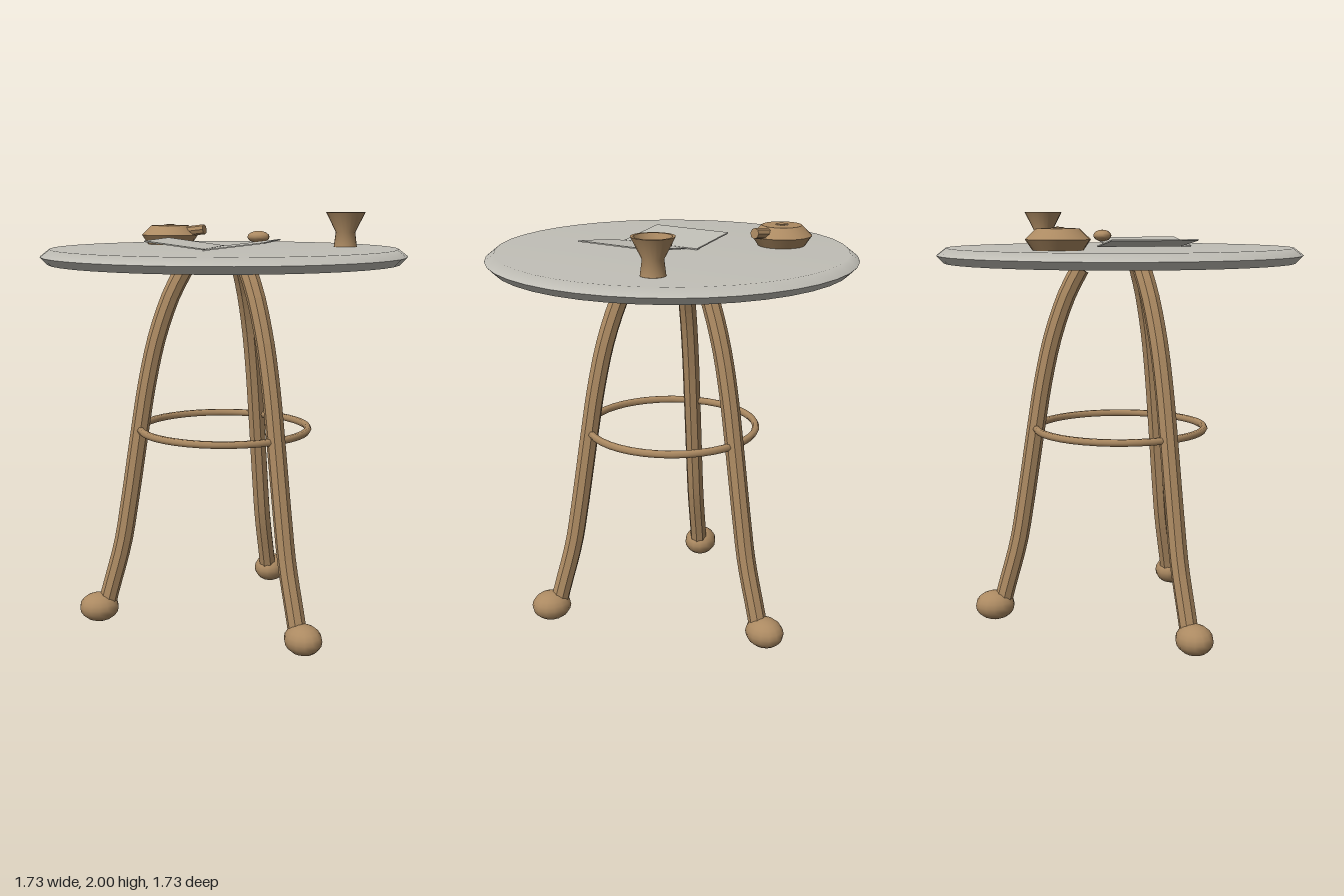
import * as THREE from 'three';

export function createModel() {
  const model = new THREE.Group();
  const wood = new THREE.MeshStandardMaterial({ name: 'wood', color: 0xac8a62 });
  const woodFaceted = new THREE.MeshStandardMaterial({ name: 'wood faceted', color: 0xac8a62, flatShading: true });
  const stone = new THREE.MeshStandardMaterial({ name: 'pale grey', color: 0xc0beb6 });

  const add = (name, geometry, material, parent = model) => {
    const mesh = new THREE.Mesh(geometry, material);
    mesh.name = name;
    parent.add(mesh);
    return mesh;
  };
  const lathe = (points, segments) =>
    new THREE.LatheGeometry(points.map(([r, y]) => new THREE.Vector2(r, y)), segments);

  // Table top: smooth upper face and bevel, with a crisp rim and flat underside
  const top = new THREE.Group();
  top.name = 'tableTop';
  model.add(top);
  add('tableUpperFace', lathe([[0.865, 1.8], [0.82, 1.835], [0, 1.835]], 40), stone, top);
  add('tableLowerBevel', lathe([[0.83, 1.765], [0.865, 1.8]], 40), stone, top);
  add('tableUnderside', lathe([[0, 1.765], [0.83, 1.765]], 40), stone, top);

  // Three curved legs with ball feet, drawn along +z and turned about the centre
  const path = new THREE.CatmullRomCurve3(
    [[0.585, 0.08], [0.565, 0.16], [0.5, 0.4], [0.465, 0.6], [0.408, 0.97],
      [0.37, 1.2], [0.32, 1.42], [0.25, 1.62], [0.19, 1.735]]
      .map(([r, y]) => new THREE.Vector3(0, y, r)));
  const legGeometry = new THREE.TubeGeometry(path, 24, 0.044, 8);
  const capGeometry = new THREE.CircleGeometry(0.044, 8);
  const footGeometry = new THREE.SphereGeometry(1, 14, 10).scale(0.084, 0.072, 0.097);
  [['frontLeftLeg', 1], ['frontRightLeg', -1], ['backLeg', 3]].forEach(([name, turns]) => {
    const leg = new THREE.Group();
    leg.name = name;
    leg.rotation.y = turns * Math.PI / 3;
    add('legShaft', legGeometry, woodFaceted, leg);
    const cap = add('legCap', capGeometry, woodFaceted, leg);
    cap.position.copy(path.getPoint(1));
    cap.quaternion.setFromUnitVectors(new THREE.Vector3(0, 0, 1), path.getTangent(1));
    add('foot', footGeometry, wood, leg).position.set(0, 0.074, 0.622);
    model.add(leg);
  });

  // Brace ring joining the legs
  const ring = add('braceRing', new THREE.TorusGeometry(0.408, 0.018, 6, 40), wood);
  ring.rotation.x = Math.PI / 2;
  ring.position.y = 0.968;

  // Two open pages sloping up away from the middle
  [['leftPage', 1], ['rightPage', -1]].forEach(([name, side]) => {
    const page = add(name, new THREE.BoxGeometry(0.282, 0.006, 0.41), stone);
    page.position.set(side * 0.146, 1.857, 0.117);
    page.rotation.set(0, 0.2, side * 0.125, 'YXZ');
  });

  // Small egg-shaped weight on the pages
  add('paperweight', new THREE.SphereGeometry(1, 12, 8).scale(0.055, 0.028, 0.044), wood)
    .position.set(0.144, 1.887, -0.078);

  // Flared cup with a hollow inside
  const cup = new THREE.Group();
  cup.name = 'cup';
  cup.position.set(0.48, 1.835, -0.367);
  model.add(cup);
  add('cupOutside', lathe([[0, 0], [0.056, 0], [0.056, 0.001], [0.047, 0.07], [0.095, 0.165]], 20), wood, cup);
  add('cupRim', lathe([[0.095, 0.165], [0.082, 0.165]], 20), wood, cup);
  add('cupInside', lathe([[0.082, 0.165], [0.047, 0.085]], 20), wood, cup);
  add('cupFloor', lathe([[0.047, 0.085], [0, 0.085]], 20), wood, cup);

  // Squat pot with lid and short spout
  const pot = new THREE.Group();
  pot.name = 'pot';
  pot.position.set(-0.435, 1.835, -0.295);
  model.add(pot);
  add('potLowerBody', lathe([[0.112, 0], [0.144, 0.047]], 20), wood, pot);
  add('potUpperBody', lathe([[0.144, 0.047], [0.095, 0.094]], 20), wood, pot);
  add('potLid', lathe([[0.095, 0.094], [0.03, 0.096]], 20), wood, pot);
  add('potLidKnob', lathe([[0.03, 0.096], [0.028, 0.099], [0, 0.099]], 12), woodFaceted, pot);
  const spout = add('potSpout', new THREE.CylinderGeometry(0.025, 0.025, 0.13, 8), woodFaceted, pot);
  spout.position.set(0.13, 0.069, 0);
  spout.rotation.z = -Math.PI / 2 + 0.12;

  return model;
}
